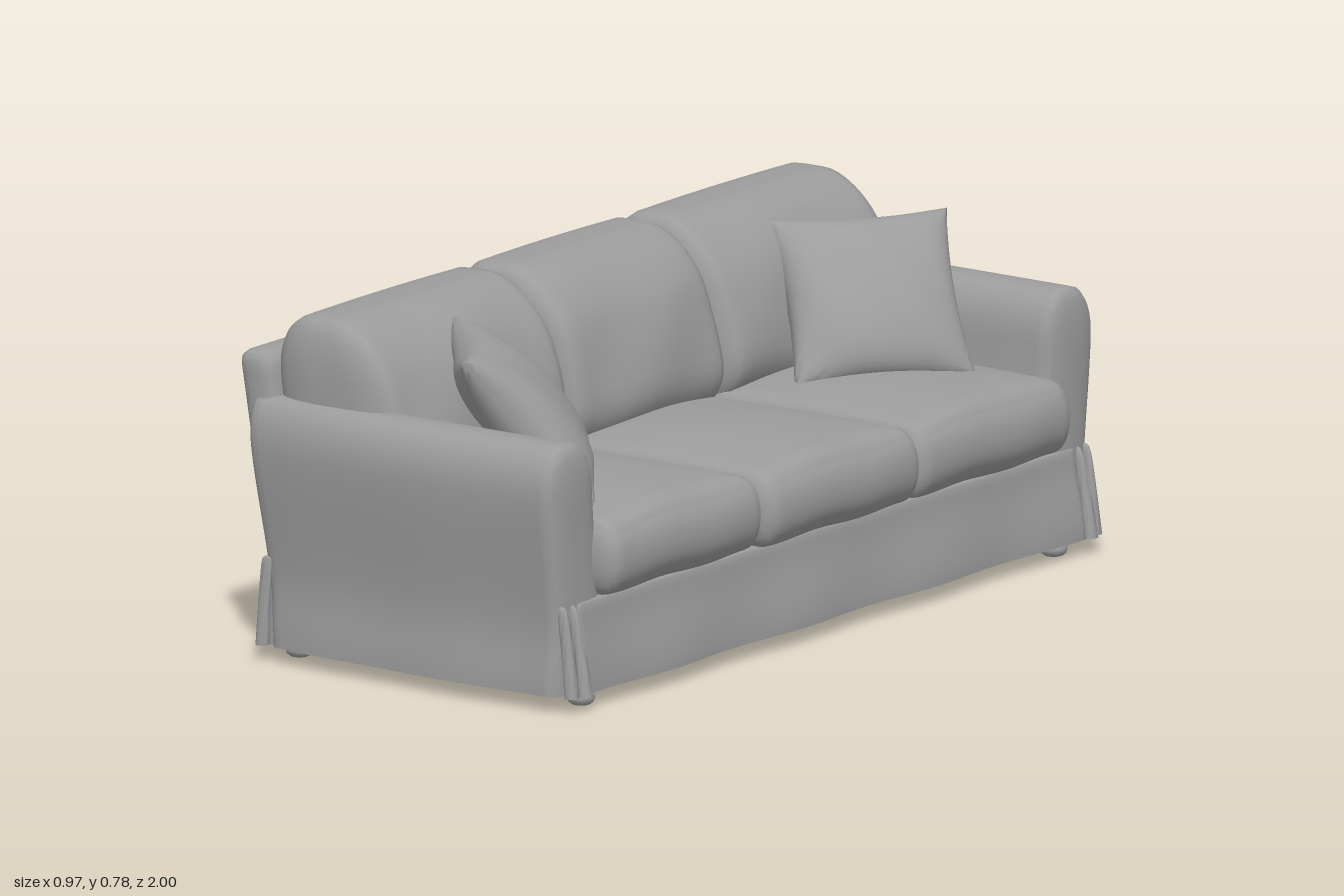
import * as THREE from 'three';
import { mergeVertices, toCreasedNormals } from 'three/addons/utils/BufferGeometryUtils.js';

const FLOOR = 0.035; // hem height of the slipcover
const { lerp, clamp, smoothstep } = THREE.MathUtils;

// weld the faces of a deformed box and give it soft normals with sharp hems
function finish(geo, crease = 0.9) {
  geo.deleteAttribute('uv');
  geo.deleteAttribute('normal');
  return toCreasedNormals(mergeVertices(geo, 1e-5), crease);
}

// padded box between two corners, elliptical edge radii, optional deform(p, unit)
function softBox(min, max, radii, deform, segs = [18, 18, 18]) {
  const geo = new THREE.BoxGeometry(2, 2, 2, ...segs);
  const pos = geo.attributes.position;
  const p = new THREE.Vector3(), unit = new THREE.Vector3();
  for (let i = 0; i < pos.count; i++) {
    const core = [], off = [];
    for (let a = 0; a < 3; a++) {
      const half = (max[a] - min[a]) / 2;
      const v = Math.sin(pos.getComponent(i, a) * Math.PI / 2) * half;
      const k = half - radii[a];
      core[a] = clamp(v, -k, k);
      off[a] = (v - core[a]) / radii[a];
      unit.setComponent(a, v / half);
    }
    const len = Math.hypot(...off) || 1;
    for (let a = 0; a < 3; a++) {
      p.setComponent(a, (min[a] + max[a]) / 2 + core[a] + off[a] / len * radii[a]);
    }
    if (deform) deform(p, unit);
    pos.setXYZ(i, p.x, p.y, p.z);
  }
  return finish(geo);
}

// square throw pillow in the xy plane with pinched seams and pointed corners
function pillowGeometry(size, depth) {
  const geo = new THREE.BoxGeometry(2, 2, 2, 24, 24, 1);
  const pos = geo.attributes.position;
  for (let i = 0; i < pos.count; i++) {
    const u = Math.sin(pos.getX(i) * Math.PI / 2), v = Math.sin(pos.getY(i) * Math.PI / 2);
    const side = Math.sign(pos.getZ(i));
    const puff = Math.pow(Math.max(0, (1 - u * u) * (1 - v * v)), 0.45);
    const crease = 0.004 * Math.sin(7 * u + 3 * v) * puff;
    pos.setXYZ(i,
      u * size / 2 * (1 - 0.09 * (1 - v * v) * u * u),
      v * size / 2 * (1 - 0.09 * (1 - u * u) * v * v),
      side * (0.003 + puff * depth / 2 + crease));
  }
  return finish(geo, 1.2);
}

export function createModel() {
  const sofa = new THREE.Group();
  const fabric = new THREE.MeshStandardMaterial({ color: 0x9c9c9c });
  fabric.name = 'grey fabric';

  const add = (name, geo) => {
    const mesh = new THREE.Mesh(geo, fabric);
    mesh.name = name;
    sofa.add(mesh);
    return mesh;
  };

  // seat base, its front skirt flaring and rippling toward the hem
  add('base', softBox([-0.4, -0.01, -0.915], [0.42, 0.24, 0.915], [0.015, 0.02, 0.015], (p) => {
    const low = 1 - smoothstep(p.y, FLOOR, 0.23);
    if (p.x > 0.3) p.x += low * (0.026 + 0.006 * Math.sin(p.z * 13));
    p.y = Math.max(p.y, FLOOR);
  }, [8, 14, 60]));

  // backrest panel, leaning back, with a small kick at the hem
  add('backrest', softBox([-0.045, -0.03, -0.94], [0.045, 0.685, 0.94], [0.035, 0.035, 0.025], (p) => {
    p.y = Math.max(p.y, FLOOR);
    p.x += lerp(-0.362, -0.44, clamp((p.y - 0.2) / 0.47, 0, 1));
    p.x -= 0.018 * (1 - smoothstep(p.y, FLOOR, 0.2));
  }, [8, 28, 24]));

  for (const s of [1, -1]) {
    const label = s > 0 ? 'left' : 'right';

    // rolled arm, narrower at the back and slightly waisted above the hem
    add(label + 'Arm', softBox([-0.45, -0.1, -0.085], [0.415, 0.588, 0.085], [0.025, 0.11, 0.075], (p) => {
      p.y = Math.max(p.y, FLOOR);
      const t = clamp((p.x + 0.45) / 0.55, 0, 1);
      const back = 1 - (1 - (1 - t) * (1 - t));
      const height = clamp((p.y - FLOOR) / 0.55, 0, 1);
      const waist = 0.027 * (1 - smoothstep(p.y, 0.15, 0.5)) - 0.012 * (1 - smoothstep(p.y, FLOOR, 0.18));
      const z = 0.914 + p.z * lerp(1, 0.6, back) - waist + 0.004 * back
        + 0.003 * Math.sin(p.x * 14) * (1 - height);
      p.z = s * z;
      if (s < 0) p.x = -p.x; // keep the face winding when mirrored
      const x = s < 0 ? -p.x : p.x;
      p.x = x + (1 - height) * 0.065 * (0.415 - x) / 0.865;
    }, [28, 26, 14]));
    if (s < 0) flip(sofa.children.at(-1).geometry);

    // pleat flaps at the corners of the skirt
    for (const [end, x, z, flare] of [['Front', 0.405, 0.925, 0.045], ['Back', -0.392, 0.915, -0.02]]) {
      for (const k of [0, 1]) {
        const zc = s * (z + k * 0.032);
        add(label + end + 'Pleat', softBox([x - 0.014, 0, zc - 0.014], [x + 0.014, 0.235, zc + 0.014],
          [0.012, 0.012, 0.012], (p) => {
            p.y = Math.max(p.y, FLOOR);
            const low = 1 - clamp((p.y - FLOOR) / 0.2, 0, 1);
            p.x += flare * Math.pow(low, 0.7) * (1 - 0.3 * k);
            p.z = zc + (p.z - zc) * (0.4 + 0.8 * low);
          }, [6, 10, 6]));
      }
    }

    // bun feet
    const bun = [[0, 0], [0.02, 0], [0.028, 0.006], [0.031, 0.016], [0.028, 0.026], [0.02, 0.032], [0.02, 0.05]]
      .map(([r, y]) => new THREE.Vector2(r, y));
    for (const x of [-0.367, 0.393]) {
      add(label + (x > 0 ? 'FrontFoot' : 'BackFoot'), new THREE.LatheGeometry(bun, 20)).position.set(x, 0, s * 0.865);
    }
  }

  // three seat cushions and three back cushions
  for (const i of [-1, 0, 1]) {
    const zc = i * 0.566;
    const front = i === 0 ? 0.477 : 0.468;
    add('seatCushion', softBox([-0.15, 0.237, zc - 0.283], [front, 0.402, zc + 0.283], [0.05, 0.08, 0.035], (p, u) => {
      const dome = (1 - u.x * u.x) * (1 - u.z * u.z);
      if (u.y > 0) p.y += u.y * (0.024 * dome + 0.01 * (1 - u.z * u.z));
      p.y += 0.003 * Math.sin(p.z * 21 + i) * Math.max(0, u.x);
      if (u.x > 0) p.x += 0.008 * u.x * (1 - u.z * u.z) * (1 - u.y * u.y);
    }, [22, 14, 22]));

    const bc = i * 0.608, hw = i === 0 ? 0.29 : 0.325;
    add('backCushion', softBox([-0.4, 0.36, bc - hw], [-0.06, 0.772, bc + hw], [0.13, 0.13, 0.04], (p, u) => {
      const t = clamp((p.y - 0.4) / 0.37, 0, 1);
      const f = (p.x + 0.4) / 0.34; // 0 at the back, 1 at the front
      p.x = lerp(lerp(-0.37, -0.405, t), lerp(-0.045, -0.16, t * t), f);
      p.x += 0.012 * Math.max(0, u.x) * (1 - u.z * u.z);
      p.x += 0.004 * Math.sin(p.z * 17 + p.y * 15) * Math.max(0, u.x);
      p.y += 0.004 * (1 - u.z * u.z) * Math.max(0, u.y);
    }, [18, 22, 22]));
  }

  // throw pillows leaning into the two corners
  const pillows = [
    ['leftThrowPillow', [0.1, 0.575, 0.68], [-0.63, 0, -0.77], [-0.51, 0.75, 0.41], 0.43],
    ['rightThrowPillow', [0.065, 0.568, -0.64], [0.62, 0, -0.78], [-0.46, 0.78, -0.4], 0.41],
  ];
  for (const [name, centre, across, up, size] of pillows) {
    const x = new THREE.Vector3(...across).normalize();
    const z = x.clone().cross(new THREE.Vector3(...up)).normalize();
    const mesh = add(name, pillowGeometry(size, 0.17));
    mesh.quaternion.setFromRotationMatrix(new THREE.Matrix4().makeBasis(x, z.clone().cross(x), z));
    mesh.position.set(...centre);
  }
  return sofa;
}

// reverse the corner order of a mirrored geometry
function flip(geo) {
  const pos = geo.attributes.position, a = new THREE.Vector3(), b = new THREE.Vector3();
  for (const attr of [pos, geo.attributes.normal]) {
    for (let i = 0; i < attr.count; i += 3) {
      a.fromBufferAttribute(attr, i + 1);
      b.fromBufferAttribute(attr, i + 2);
      attr.setXYZ(i + 1, b.x, b.y, b.z);
      attr.setXYZ(i + 2, a.x, a.y, a.z);
    }
  }
  geo.attributes.normal.array.forEach((v, i, arr) => { arr[i] = -v; });
}
